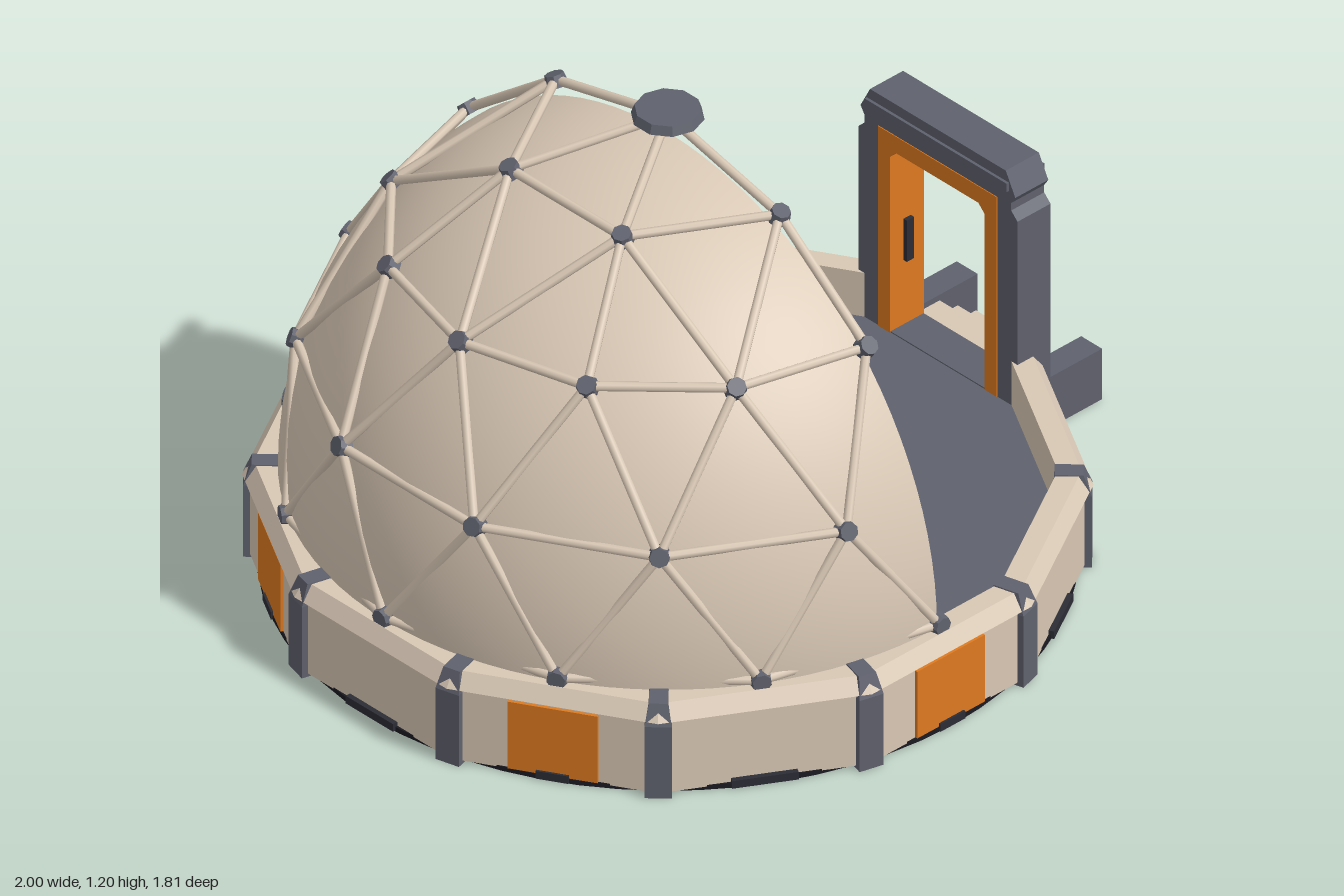
import * as THREE from 'three';

const mat = (name, color, side = THREE.FrontSide) => {
  const m = new THREE.MeshStandardMaterial({ color, side });
  m.name = name;
  return m;
};
const rad = THREE.MathUtils.degToRad;

export function createModel() {
  const cream = mat('cream', 0xd9c8b5, THREE.DoubleSide);
  const slate = mat('slate', 0x5f616d);
  const orange = mat('orange', 0xde7a20);
  const dark = mat('dark metal', 0x2b2c35);
  const under = mat('underside black', 0x1b1a22);
  const soil = mat('soil', 0x6a4a4e);
  const leaf = mat('leaf green', 0x3f8f49);

  const root = new THREE.Group();
  root.name = 'domeGarden';
  const site = new THREE.Group(); // origin on the dome axis
  site.name = 'site';
  site.position.x = -0.095;
  root.add(site);

  const add = (parent, name, geo, m, x = 0, y = 0, z = 0) => {
    const mesh = new THREE.Mesh(geo, m);
    mesh.name = name;
    mesh.position.set(x, y, z);
    parent.add(mesh);
    return mesh;
  };
  const box = (parent, name, m, w, h, d, x, y, z) =>
    add(parent, name, new THREE.BoxGeometry(w, h, d), m, x, y, z);
  const group = (parent, name) => {
    const g = new THREE.Group();
    g.name = name;
    parent.add(g);
    return g;
  };
  // group whose local +x points outward at the given angle
  const spoke = (name, deg) => {
    const g = group(site, name);
    g.rotation.y = -rad(deg);
    return g;
  };
  const flat = (geo) => {
    const g = geo.toNonIndexed();
    g.computeVertexNormals();
    return g;
  };
  const polar = (r, y, deg) => new THREE.Vector3(r * Math.cos(rad(deg)), y, r * Math.sin(rad(deg)));

  // Base slab and floor
  const FLOOR = 0.12;
  add(site, 'underside', new THREE.CylinderGeometry(0.9, 0.9, 0.012, 64), under, 0, 0.006, 0);
  const floor = add(site, 'floor', new THREE.CylinderGeometry(0.86, 0.86, FLOOR - 0.012, 12), slate, 0, FLOOR / 2 + 0.006, 0);
  floor.rotation.y = rad(15);
  const ring = add(site, 'floorRing', new THREE.RingGeometry(0.48, 0.487, 64), dark, 0, FLOOR + 0.002, 0);
  ring.rotation.x = -Math.PI / 2;

  // Eleven-sided curb wall, open at the entrance
  const profile = [[0.89, 0.008], [0.89, 0.195], [0.9, 0.2], [0.875, 0.237], [0.825, 0.237], [0.825, 0.1]]
    .map(([r, y]) => new THREE.Vector2(r / Math.cos(rad(15)), y));
  add(site, 'curbWall', flat(new THREE.LatheGeometry(profile, 11, rad(105), rad(330))), cream);

  // Orange inserts and low vents on the wall faces
  for (let k = 1; k < 12; k++) {
    const g = spoke('wallFace', 30 * k);
    const painted = k % 2 === 1;
    if (painted) box(g, 'orangeInsert', orange, 0.009, 0.178, k === 1 || k === 11 ? 0.245 : 0.205, 0.893, 0.102, 0);
    box(g, 'vent', dark, 0.016, 0.02, painted ? 0.075 : 0.15, 0.895, 0.012, 0);
  }

  // Corner posts with tapered tops
  const postGeo = new THREE.BoxGeometry(0.085, 0.24, 0.06, 1, 2, 1);
  const pp = postGeo.attributes.position;
  for (let i = 0; i < pp.count; i++) {
    if (pp.getY(i) > 0.1) pp.setXYZ(i, pp.getX(i) * 0.75 - 0.008, 0.12, pp.getZ(i) * 0.7);
    else if (pp.getY(i) > -0.05) pp.setY(i, 0.07);
  }
  const post = flat(postGeo);
  for (let k = 1; k < 11; k++) add(spoke('cornerPost', 15 + 30 * k), 'post', post, slate, 0.8865, 0.12, 0);

  // Half dome shell
  const shell = new THREE.SphereGeometry(1, 48, 24, -Math.PI / 2, Math.PI, 0, Math.PI / 2);
  shell.scale(0.853, 0.892, 0.853);
  add(site, 'domeShell', shell, cream, 0, 0.237, 0);

  // Lattice nodes, ring by ring
  const nodes = (r, y, from, to, step) => {
    const list = [];
    for (let a = from; a <= to; a += step) list.push({ a, p: polar(r, y, a) });
    return list;
  };
  const rings = [
    nodes(0.86, 0.25, 90, 270, 30),
    nodes(0.815, 0.565, 105, 255, 30),
    nodes(0.63, 0.875, 90, 270, 30),
    nodes(0.355, 1.09, 90, 270, 60),
  ];
  const reach = [0, 16, 16, 31]; // angular reach of links to the ring below
  const apex = new THREE.Vector3(0, 1.175, 0);
  const lattice = group(site, 'lattice');
  const up = new THREE.Vector3(0, 1, 0);
  const strut = (a, b) => {
    const d = b.clone().sub(a);
    const s = add(lattice, 'strut', new THREE.CylinderGeometry(0.011, 0.011, d.length(), 8), cream);
    s.position.copy(a).addScaledVector(d, 0.5);
    s.quaternion.setFromUnitVectors(up, d.normalize());
  };
  const hubGeo = flat(new THREE.CylinderGeometry(0.022, 0.027, 0.028, 8));
  const centre = new THREE.Vector3(0, 0.24, 0);
  rings.forEach((list, i) => {
    list.forEach((n, j) => {
      if (j) strut(list[j - 1].p, n.p);
      if (i) rings[i - 1].filter((m) => Math.abs(m.a - n.a) < reach[i]).forEach((m) => strut(n.p, m.p));
      if (i === 3) strut(n.p, apex);
      const hub = add(lattice, 'hub', hubGeo, slate);
      hub.position.copy(n.p);
      hub.quaternion.setFromUnitVectors(up, n.p.clone().sub(centre).normalize());
    });
  });
  add(lattice, 'apexHub', flat(new THREE.CylinderGeometry(0.074, 0.082, 0.022, 10)), slate, 0, 1.184, 0);

  // Entrance portal, drawn as half outlines and mirrored
  const arch = (name, m, outer, inner, depth, x) => {
    const half = [...outer, ...inner.slice().reverse().map(([a, b]) => [-a, b])];
    const mirrored = [...outer, ...outer.slice().reverse().map(([a, b]) => [-a, b]),
      ...inner.map(([a, b]) => [-a, b]), ...inner.slice().reverse()];
    if (!half.length) return;
    const shape = new THREE.Shape(mirrored.map(([a, b]) => new THREE.Vector2(a, b)));
    const geo = new THREE.ExtrudeGeometry(shape, { depth, bevelEnabled: false });
    geo.rotateY(Math.PI / 2);
    add(portal, name, geo, m, x, 0, 0);
  };
  const portal = group(site, 'portal');
  arch('portalFrame', slate,
    [[0.252, 0], [0.252, 0.62], [0.232, 0.64], [0.232, 0.66], [0.245, 0.68], [0.215, 0.738]],
    [[0.186, 0], [0.186, 0.652]], 0.1, 0.818);
  arch('portalLiner', orange, [[0.188, FLOOR], [0.188, 0.654]],
    [[0.15, FLOOR], [0.15, 0.59], [0.13, 0.61]], 0.104, 0.816);
  box(portal, 'lintelBand', slate, 0.114, 0.022, 0.45, 0.868, 0.7, 0);
  box(portal, 'threshold', slate, 0.1, FLOOR, 0.372, 0.868, FLOOR / 2 + 0.003, 0);
  for (const s of [-1, 1]) {
    box(portal, 'doorHandle', dark, 0.022, 0.11, 0.012, 0.868, 0.35, s * 0.145);
    box(portal, 'stairCheek', slate, 0.2, 0.135, 0.066, 0.995, 0.0675, s * 0.197);
  }
  // Stairs
  for (let i = 0; i < 3; i++) {
    const end = 1.09 - i * 0.055;
    box(portal, 'step', cream, end - 0.915, 0.04, 0.33, (end + 0.915) / 2, 0.02 + i * 0.04, 0);
  }

  // Planters: local +x is the side with the orange plate
  const leafGeo = new THREE.IcosahedronGeometry(0.03, 1);
  const planter = (x, z, deg) => {
    const g = group(site, 'planter');
    g.position.set(x, FLOOR, z);
    g.rotation.y = -rad(deg);
    box(g, 'plinth', dark, 0.16, 0.02, 0.4, 0, 0.01, 0);
    box(g, 'planterBox', slate, 0.17, 0.085, 0.41, 0, 0.06, 0);
    for (const s of [-1, 1]) {
      box(g, 'longRim', slate, 0.022, 0.022, 0.42, s * 0.079, 0.107, 0);
      box(g, 'endRim', slate, 0.136, 0.022, 0.022, 0, 0.107, s * 0.199);
      box(g, 'lampPost', dark, 0.013, 0.28, 0.013, -0.06, 0.245, s * 0.15);
      box(g, 'lampArm', dark, 0.075, 0.01, 0.013, -0.028, 0.377, s * 0.15);
    }
    box(g, 'orangePlate', orange, 0.009, 0.065, 0.31, 0.087, 0.056, 0);
    box(g, 'soilBed', soil, 0.138, 0.008, 0.378, 0, 0.106, 0);
    for (let i = 0; i < 8; i++) {
      const plant = add(g, 'plant', leafGeo, leaf, (i % 2 ? 1 : -1) * 0.018, 0.138, -0.16 + i * 0.0457);
      plant.scale.set(1.1, 0.95 - (i % 3) * 0.08, 1);
      plant.rotation.y = i * 1.3;
    }
    const lamp = box(g, 'growLamp', slate, 0.09, 0.014, 0.35, 0, 0.385, 0);
    lamp.rotation.z = 0.08;
  };
  planter(0.115, 0.43, 45);
  planter(0.115, -0.43, -45);
  planter(-0.35, 0, 180);

  return root;
}
